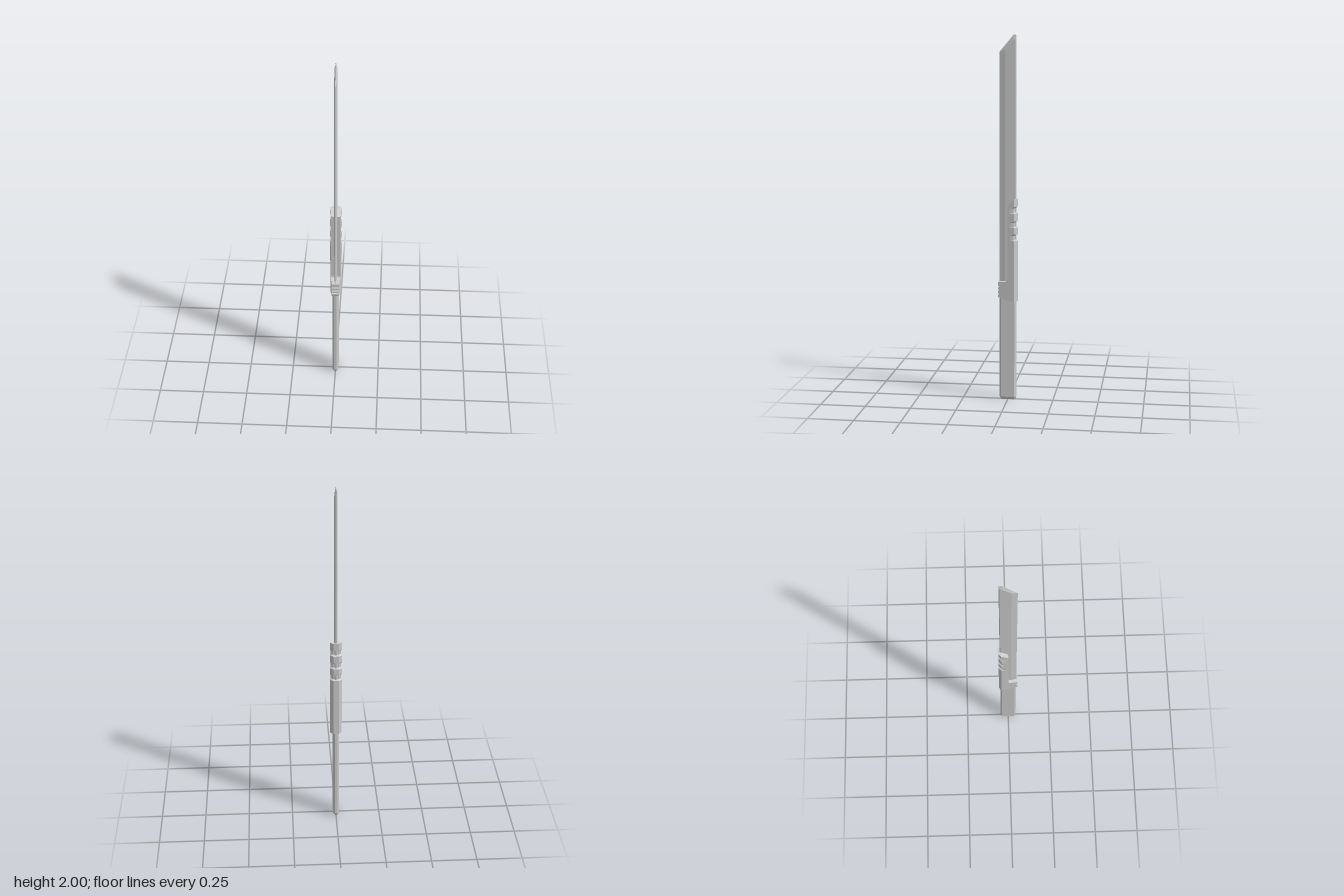
import * as THREE from 'three';

const material = new THREE.MeshStandardMaterial({ color: 0xcccccc, flatShading: true });

// Lofts mirrored rings upward. Each ring lists [x, y, z] from front to back on the +x side.
function loft(name, halves) {
  const rings = halves.map(h => [...h, ...h.slice().reverse().map(([x, y, z]) => [-x, y, z])]);
  const n = rings[0].length, index = [];
  const quad = (a, b, c, d) => index.push(a, b, c, a, c, d);
  for (let i = 0; i < rings.length - 1; i++) {
    for (let j = 0; j < n; j++) {
      const k = (j + 1) % n, lo = i * n, hi = lo + n;
      quad(lo + j, lo + k, hi + k, hi + j);
    }
  }
  // caps run as strips between mirrored points
  const top = (rings.length - 1) * n;
  for (let j = 0; j < n / 2 - 1; j++) {
    quad(n - 1 - j, n - 2 - j, j + 1, j);
    quad(top + j, top + j + 1, top + n - 2 - j, top + n - 1 - j);
  }
  const indexed = new THREE.BufferGeometry();
  indexed.setAttribute('position', new THREE.Float32BufferAttribute(rings.flat(2), 3));
  indexed.setIndex(index);
  const geometry = indexed.toNonIndexed();
  geometry.computeVertexNormals();
  const mesh = new THREE.Mesh(geometry, material);
  mesh.name = name;
  return mesh;
}

// Chamfered grip with a bevelled butt
function makeHandle() {
  const ring = (y, inset) => [
    [0.007 - inset * 0.4, y, 0.046 - inset],
    [0.017 - inset, y, 0.037 - inset],
    [0.017 - inset, y, -0.037 + inset],
    [0.007 - inset * 0.4, y, -0.046 + inset],
  ];
  return loft('handle', [ring(0, 0.007), ring(0.015, 0), ring(0.585, 0)]);
}

// Single-edged blade with a slanted, bevelled tip
function makeBlade() {
  const section = [[0.0005, 0.046], [0.007, 0.015], [0.007, -0.03], [0.007, -0.042], [0.004, -0.046]];
  const tip = [1.91, 1.947, 2, 2, 1.995];
  const drop = [0.002, 0.022, 0.03, 0.025, 0.015];
  return loft('blade', [
    section.map(([x, z]) => [x, 0.57, z]),
    section.map(([x, z], i) => [x, tip[i] - drop[i], z]),
    section.map(([x, z], i) => [Math.min(x, 0.001), tip[i], z]),
  ]);
}

// Guard that continues up the back of the blade as a notched spine
function makeGuard() {
  const sideX = z => 0.032 - 0.012 * (z + 0.038) / 0.09;
  const ring = (yFront, yMid, yBack, zFront, cut = 0) => [
    [sideX(zFront), yFront, zFront],
    [sideX(-0.012), yMid, -0.012],
    [0.032 - cut * 0.4, yBack, -0.038 + cut * 0.3],
    [0.015, yBack, -0.053 + cut],
  ];
  const flat = (y, zFront, cut) => ring(y, y, y, zFront, cut);
  const rings = [ring(0.577, 0.557, 0.557, 0.05), ring(0.583, 0.575, 0.575, 0.053)];
  // shallow grip grooves on the front of the guard
  for (const y of [0.592, 0.612, 0.632]) {
    rings.push(flat(y, 0.053), flat(y + 0.003, 0.048), flat(y + 0.008, 0.048), flat(y + 0.011, 0.053));
  }
  rings.push(flat(0.661, 0.053), flat(0.664, 0.05), flat(0.666, 0.01), flat(0.671, 0.003), flat(0.682, 0));
  // notches across the back of the spine
  for (const y of [0.893, 0.965, 1.043]) {
    rings.push(flat(y, 0), flat(y + 0.006, 0, 0.013), flat(y + 0.028, 0, 0.013), flat(y + 0.036, 0));
  }
  rings.push(ring(1.085, 1.096, 1.12, 0));
  return loft('guard', rings);
}

export function createModel() {
  const group = new THREE.Group();
  group.name = 'sword';
  group.add(makeHandle(), makeBlade(), makeGuard());
  return group;
}
